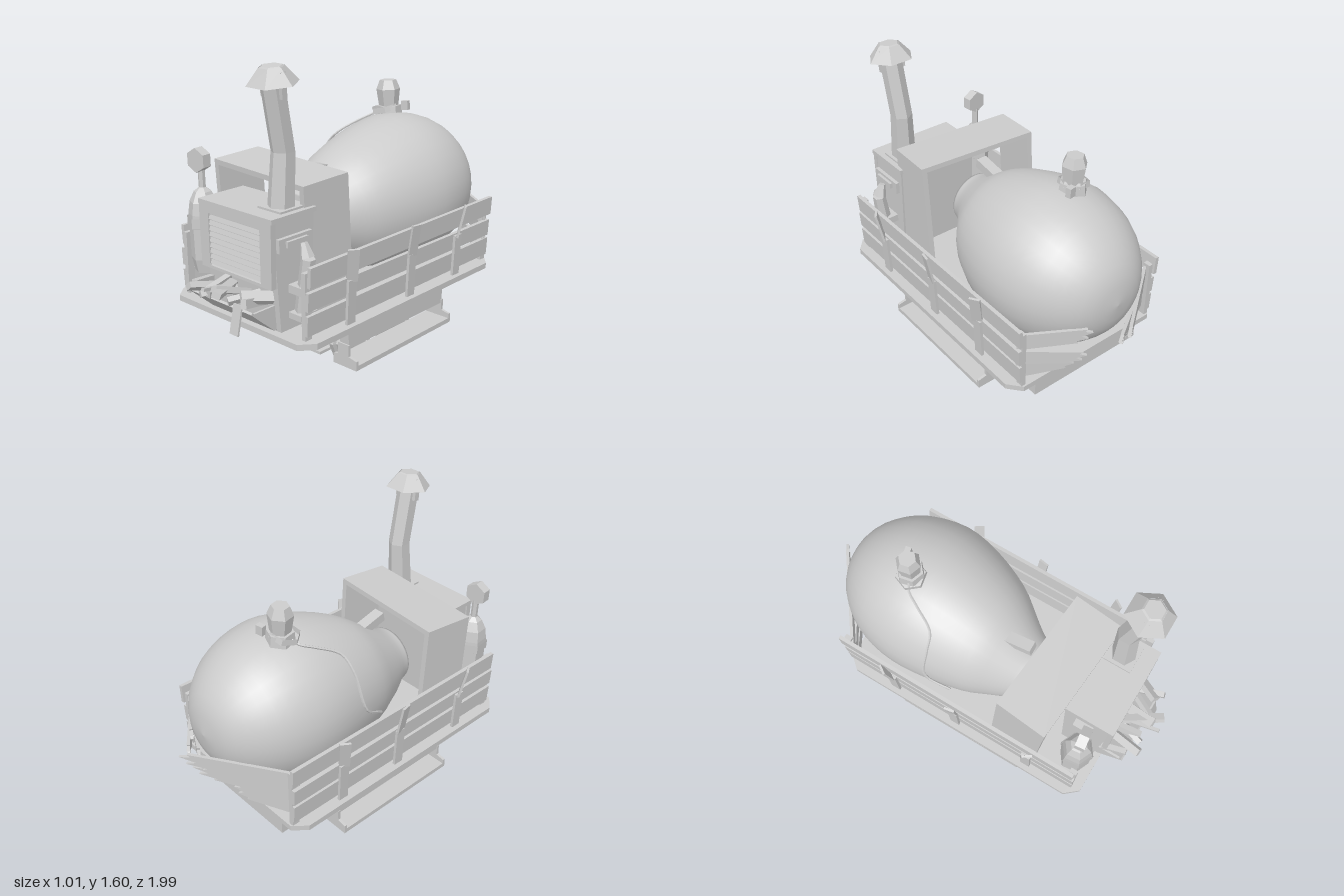
import * as THREE from 'three';

const flat = new THREE.MeshStandardMaterial({ color: 0xcccccc, flatShading: true, side: THREE.DoubleSide });
const smooth = new THREE.MeshStandardMaterial({ color: 0xcccccc });
const V = (x, y, z) => new THREE.Vector3(x, y, z);

function add(parent, name, geo, pos = [0, 0, 0], rot = [0, 0, 0], mat = flat) {
  const m = new THREE.Mesh(geo, mat);
  m.name = name;
  m.position.set(...pos);
  m.rotation.set(...rot);
  parent.add(m);
  return m;
}
// box given by its min and max on each axis
function box(parent, name, x0, x1, y0, y1, z0, z1) {
  return add(parent, name, new THREE.BoxGeometry(x1 - x0, y1 - y0, z1 - z0),
    [(x0 + x1) / 2, (y0 + y1) / 2, (z0 + z1) / 2]);
}
// rectangular bar from a to b
function bar(parent, name, a, b, w, h) {
  const m = add(parent, name, new THREE.BoxGeometry(w, h, a.distanceTo(b)));
  m.position.copy(a).add(b).multiplyScalar(0.5);
  m.lookAt(b);
  return m;
}
function group(parent, name, pos = [0, 0, 0], rot = [0, 0, 0]) {
  const g = new THREE.Group();
  g.name = name;
  g.position.set(...pos);
  g.rotation.set(...rot);
  parent.add(g);
  return g;
}
const shape = pts => new THREE.Shape(pts.map(p => new THREE.Vector2(...p)));
const extrude = (s, depth) => new THREE.ExtrudeGeometry(s, { depth, bevelEnabled: false });
const hex = (rTop, rBottom, h, n = 6, open = false) => new THREE.CylinderGeometry(rTop, rBottom, h, n, 1, open);

function chassis(root) {
  const g = group(root, 'chassis');
  // platform with cut corners
  const s = shape([[-0.48, -0.72], [-0.42, -0.79], [0.42, -0.79], [0.48, -0.72],
    [0.48, 0.63], [0.42, 0.7], [-0.42, 0.7], [-0.48, 0.63]]);
  add(g, 'platform', extrude(s, 0.03).rotateX(-Math.PI / 2), [0, 0.345, 0]);
  // end beams and gearbox
  for (const [z0, z1] of [[0.46, 0.63], [-0.69, -0.46]]) box(g, 'endBeam', -0.34, 0.34, 0.26, 0.345, z0, z1 - (z1 < 0 ? -0.06 : 0));
  for (const z of [0.435, -0.435]) box(g, 'beamBlock', -0.39, 0.39, 0.28, 0.345, z - 0.025, z + 0.025);
  box(g, 'gearbox', -0.11, 0.11, 0.1, 0.345, -0.27, 0.33);
  box(g, 'upperPlate', -0.16, 0.16, 0.2, 0.215, -0.31, 0.37);
  box(g, 'lowerPlate', -0.16, 0.16, 0.08, 0.095, -0.31, 0.37);
  for (const side of [1, -1]) {
    // side sill tapering downwards
    const sill = shape([[-0.41, 0.33], [-0.4, 0.2], [0.35, 0.2], [0.36, 0.33]]);
    add(g, 'sill', extrude(sill, 0.06).rotateY(Math.PI / 2), [side * 0.355 - 0.03, 0, 0]);
    // running board on two brackets
    const x0 = side > 0 ? 0.29 : -0.44;
    box(g, 'runningBoard', x0, x0 + 0.15, 0.1, 0.125, -0.36, 0.41);
    const bracket = shape([[0.29, 0.1], [0.44, 0.1], [0.44, 0.15], [0.39, 0.16], [0.39, 0.22], [0.32, 0.22], [0.32, 0.16], [0.29, 0.15]].map(([x, y]) => [side * x, y]));
    for (const z of [-0.36, 0.395]) add(g, 'boardBracket', extrude(bracket, 0.015), [0, 0, z]);
  }
  // wheelsets
  const profile = [[0, 0.17], [0.125, 0.17], [0.125, 0.195], [0.105, 0.2], [0.1, 0.26], [0.075, 0.26], [0.07, 0.235], [0.055, 0.235], [0.05, 0.27], [0, 0.27]]
    .map(p => new THREE.Vector2(...p));
  for (const z of [0.19, -0.14]) {
    for (const turn of [0, Math.PI])
      add(group(g, 'wheel', [0, 0.125, z], [0, turn, 0]), 'wheelDisc', new THREE.LatheGeometry(profile, 8).rotateZ(-Math.PI / 2));
    add(g, 'axle', hex(0.025, 0.025, 0.36), [0, 0.125, z], [0, 0, Math.PI / 2]);
  }
}

function sidePanels(root) {
  for (const side of [1, -1]) {
    const g = group(root, 'sidePanel');
    const rows = [[0.4, 0.5, 0.74, -0.69], [0.52, 0.61, 0.74, -0.69], [0.635, 0.735, 0.73, -0.7]];
    rows.forEach(([y0, y1, z1, z0], i) => {
      const m = box(g, 'plank', -0.01, 0.01, y0, y1, z0, z1);
      m.position.x = side * (0.43 + i * 0.006);
      m.rotation.set([0.003, -0.002, 0.006][i], 0, -side * 0.06);
    });
    // outer stakes, leaning outward
    [[0.46, 0.48], [0.01, 0.015], [-0.38, -0.4]].forEach(([zb, zt]) => {
      bar(g, 'lowerStake', V(side * 0.445, 0.375, zb), V(side * 0.455, 0.6, zb), 0.055, 0.015);
      bar(g, 'upperStake', V(side * 0.455, 0.59, zb), V(side * 0.485, 0.76, zt), 0.055, 0.012);
    });
    for (const z of [0.72, -0.67]) box(g, 'cornerPost', side * 0.415 - 0.012, side * 0.415 + 0.012, 0.375, 0.7, z - 0.02, z + 0.02);
  }
}

// snapped tailgate planks fanning out of the rear corners
function tailgate(root) {
  const g = group(root, 'brokenTailgate');
  const planks = [ // corner side, y, length, height, heading, rise
    [-1, 0.59, 0.585, 0.09, 0.64, 0.07], [-1, 0.51, 0.54, 0.08, 0.56, 0.06], [-1, 0.42, 0.34, 0.09, 0.5, 0.05],
    [1, 0.6, 0.36, 0.09, 0.58, 0.04], [1, 0.51, 0.33, 0.08, 0.66, -0.02], [1, 0.42, 0.3, 0.09, 0.5, 0.06],
  ];
  for (const [side, y, len, h, heading, rise] of planks) {
    const s = shape([[0, 0], [len * 0.8, 0.01], [len * 0.76, h * 0.25], [len * 0.94, h * 0.35], [len * 0.85, h * 0.55],
      [len, h * 0.75], [len * 0.9, h * 0.85], [len * 0.93, h], [0, h]]);
    const holder = group(g, 'brokenPlank', [side * 0.43, y, -0.65], [0, side < 0 ? heading : Math.PI - heading, 0]);
    add(holder, 'splinteredBoard', extrude(s, 0.016), [0, 0, 0], [0, 0, rise]);
  }
}

function tank(root) {
  const g = group(root, 'tank');
  // pear profile: radius, z
  const pts = [[0, -0.87], [0.15, -0.842], [0.275, -0.75], [0.37, -0.6], [0.41, -0.4], [0.387, -0.2], [0.325, 0], [0.25, 0.13], [0.17, 0.26], [0.15, 0.32]];
  const curve = new THREE.SplineCurve(pts.map(p => new THREE.Vector2(...p)));
  const profile = curve.getPoints(27).map(p => new THREE.Vector2(Math.max(p.x, 0), p.y));
  profile.push(new THREE.Vector2(0, 0.32));
  const geo = new THREE.LatheGeometry(profile, 32).rotateX(Math.PI / 2);
  const p = geo.attributes.position;
  // neck drifts sideways and down
  for (let i = 0; i < p.count; i++) {
    const t = THREE.MathUtils.clamp((p.getZ(i) + 0.4) / 0.6, 0, 1);
    p.setX(i, p.getX(i) - 0.06 * t * t);
    p.setY(i, p.getY(i) + 0.78 - 0.055 * t);
  }
  add(g, 'tankBody', geo, [0, 0, 0], [0, 0, 0], smooth);
  // filler cap
  const cap = group(g, 'fillerCap', [-0.075, 1.17, -0.44], [0, 0.2, 0.05]);
  add(cap, 'capBase', hex(0.068, 0.075, 0.06), [0, 0.02, 0]);
  add(cap, 'capLower', hex(0.065, 0.052, 0.1), [0, 0.09, 0]);
  add(cap, 'capUpper', hex(0.045, 0.065, 0.05), [0, 0.165, 0]);
  add(cap, 'capCollar', hex(0.075, 0.08, 0.03, 6, true), [-0.02, 0.035, 0.01], [0, 0.5, 0.2]);
  box(cap, 'capLever', 0.06, 0.1, 0.02, 0.07, -0.06, -0.03);
  // cable lying on the tank
  const path = new THREE.CatmullRomCurve3([V(-0.12, 1.19, -0.42), V(-0.16, 1.165, -0.4), V(-0.2, 1.135, -0.33), V(-0.26, 1.075, -0.22),
    V(-0.33, 0.99, -0.2), V(-0.4, 0.8, -0.18), V(-0.375, 0.7, -0.05)]);
  add(g, 'cable', new THREE.TubeGeometry(path, 28, 0.007, 5));
  bar(g, 'neckLever', V(-0.055, 0.97, 0.11), V(-0.05, 1, 0.25), 0.06, 0.05);
}

function cab(root) {
  const g = group(root, 'cab', [-0.065, 0.375, 0.375], [0.06, -0.08, 0]);
  box(g, 'cabRoof', -0.345, 0.345, 0.645, 0.672, -0.14, 0.14);
  for (const x of [-0.33, 0.33]) box(g, 'cabWall', x - 0.015, x + 0.015, 0, 0.645, -0.14, 0.14);
}

function engine(root) {
  const g = group(root, 'engine');
  // housing narrows towards the floor
  const housing = shape([[-0.79, 0.92], [-0.75, 0.375], [-0.55, 0.375], [-0.53, 0.92]]);
  add(g, 'housing', extrude(housing, 0.48).rotateY(Math.PI / 2), [-0.2, 0, 0]);
  box(g, 'hood', -0.215, 0.29, 0.912, 0.935, 0.52, 0.805);
  // radiator frame with slats
  const frame = shape([[-0.205, 0.6], [0.28, 0.6], [0.285, 0.915], [-0.21, 0.915]]);
  frame.holes.push(new THREE.Path([[-0.145, 0.615], [-0.145, 0.875], [0.21, 0.875], [0.21, 0.615]].map(p => new THREE.Vector2(...p))));
  add(g, 'radiatorFrame', extrude(frame, 0.03), [0, 0, 0.775]);
  for (let i = 0; i < 9; i++)
    add(g, 'slat', new THREE.BoxGeometry(0.35, 0.022, 0.01), [0.033, 0.632 + i * 0.028, 0.796], [-0.35, 0, 0]);
  // latch plate and side fittings
  box(g, 'latchPlate', 0.28, 0.3, 0.77, 0.835, 0.56, 0.77);
  box(g, 'latch', 0.3, 0.315, 0.79, 0.82, 0.6, 0.73);
  add(g, 'sideCanister', hex(0.035, 0.045, 0.27), [0.345, 0.6, 0.65], [0, 0, -0.12]);
  add(g, 'canisterNeck', hex(0.018, 0.035, 0.07), [0.345, 0.77, 0.65], [0, 0, 0.3]);
  box(g, 'canisterStrap', 0.27, 0.39, 0.56, 0.6, 0.6, 0.7);
  box(g, 'canisterFoot', 0.29, 0.37, 0.44, 0.47, 0.6, 0.71);
  box(g, 'leftHinge', -0.24, -0.2, 0.77, 0.83, 0.6, 0.7);
  // bent chimney from stacked hexagonal rings: x, y, z, radius
  const rings = [[0.185, 0.93, 0.645, 0.066], [0.19, 1.2, 0.63, 0.058], [0.195, 1.51, 0.69, 0.058]];
  const geo = new THREE.CylinderGeometry(1, 1, 1, 6, 2, true);
  const p = geo.attributes.position;
  for (let i = 0; i < p.count; i++) {
    const [x, y, z, r] = rings[Math.round((p.getY(i) + 0.5) * 2)];
    p.setXYZ(i, x + p.getX(i) * r, y, z + p.getZ(i) * r);
  }
  add(g, 'chimney', geo);
  box(g, 'chimneyBase', 0.11, 0.26, 0.93, 0.945, 0.57, 0.72);
  const cap = group(g, 'chimneyCap', [0.195, 1.55, 0.69], [0.1, 0, -0.02]);
  add(cap, 'capCone', hex(0.06, 0.122, 0.075, 6, true), [0, 0, 0], [0, Math.PI / 6, 0]);
  add(cap, 'capLid', hex(0.05, 0.06, 0.008, 6), [0, 0.038, 0], [0, Math.PI / 6, 0]);
  for (const s of [-1, 1]) box(cap, 'capStay', s * 0.06 - 0.01, s * 0.06 + 0.01, -0.1, 0.02, -0.015, 0.015);
}

function gasBottle(root) {
  const g = group(root, 'gasBottle', [-0.32, 0.5, 0.68], [0, 0.1, 0.03]);
  const profile = [[0, 0], [0.065, 0.01], [0.08, 0.08], [0.08, 0.24], [0.083, 0.25], [0.08, 0.31], [0.07, 0.37], [0.045, 0.42], [0.018, 0.44], [0.018, 0.54]]
    .map(p => new THREE.Vector2(...p));
  add(g, 'bottleBody', new THREE.LatheGeometry(profile, 6));
  add(g, 'gauge', hex(0.062, 0.062, 0.05), [0, 0.58, 0.01], [Math.PI / 2, 0, 0]);
  add(g, 'bottleBand', hex(0.088, 0.088, 0.05, 6, true), [0, 0.27, 0]);
}

function woodTray(root) {
  const g = group(root, 'woodTray');
  // slanted tray with triangular cheeks and a hanging strap
  bar(g, 'trayFront', V(0.03, 0.385, 0.76), V(0.03, 0.51, 0.9), 0.44, 0.012);
  const cheek = shape([[-0.75, 0.38], [-0.89, 0.505], [-0.75, 0.505]]);
  for (const x of [-0.19, 0.238]) add(g, 'trayCheek', extrude(cheek, 0.012).rotateY(Math.PI / 2), [x, 0, 0]);
  bar(g, 'strap', V(0.16, 0.53, 0.9), V(0.16, 0.39, 0.93), 0.055, 0.01);
  // split logs: x back, x front, y back, y front, z front
  const logs = [[-0.18, -0.15, 0.53, 0.55, 0.9], [-0.08, -0.12, 0.52, 0.56, 0.96], [-0.05, -0.03, 0.56, 0.54, 0.92], [0.0, -0.06, 0.54, 0.53, 0.94],
    [-0.02, 0.11, 0.55, 0.585, 0.985], [0.08, 0.05, 0.53, 0.59, 0.95], [0.17, 0.1, 0.55, 0.53, 0.91], [0.19, 0.23, 0.52, 0.56, 0.93], [0.25, 0.18, 0.55, 0.57, 0.9]];
  logs.forEach(([xb, xf, yb, yf, zf], i) => {
    const m = bar(g, 'log', V(xb, yb, 0.77), V(xf, yf, zf), 0.03 + (i % 3) * 0.012, 0.03);
    m.rotateZ(i * 0.7);
  });
  bar(g, 'longStick', V(0.0, 0.55, 0.79), V(0.03, 0.595, 0.995), 0.018, 0.015);
}

export function createModel() {
  const root = new THREE.Group();
  root.name = 'tankWagon';
  [chassis, sidePanels, tailgate, tank, cab, engine, gasBottle, woodTray].forEach(build => build(root));
  return root;
}
